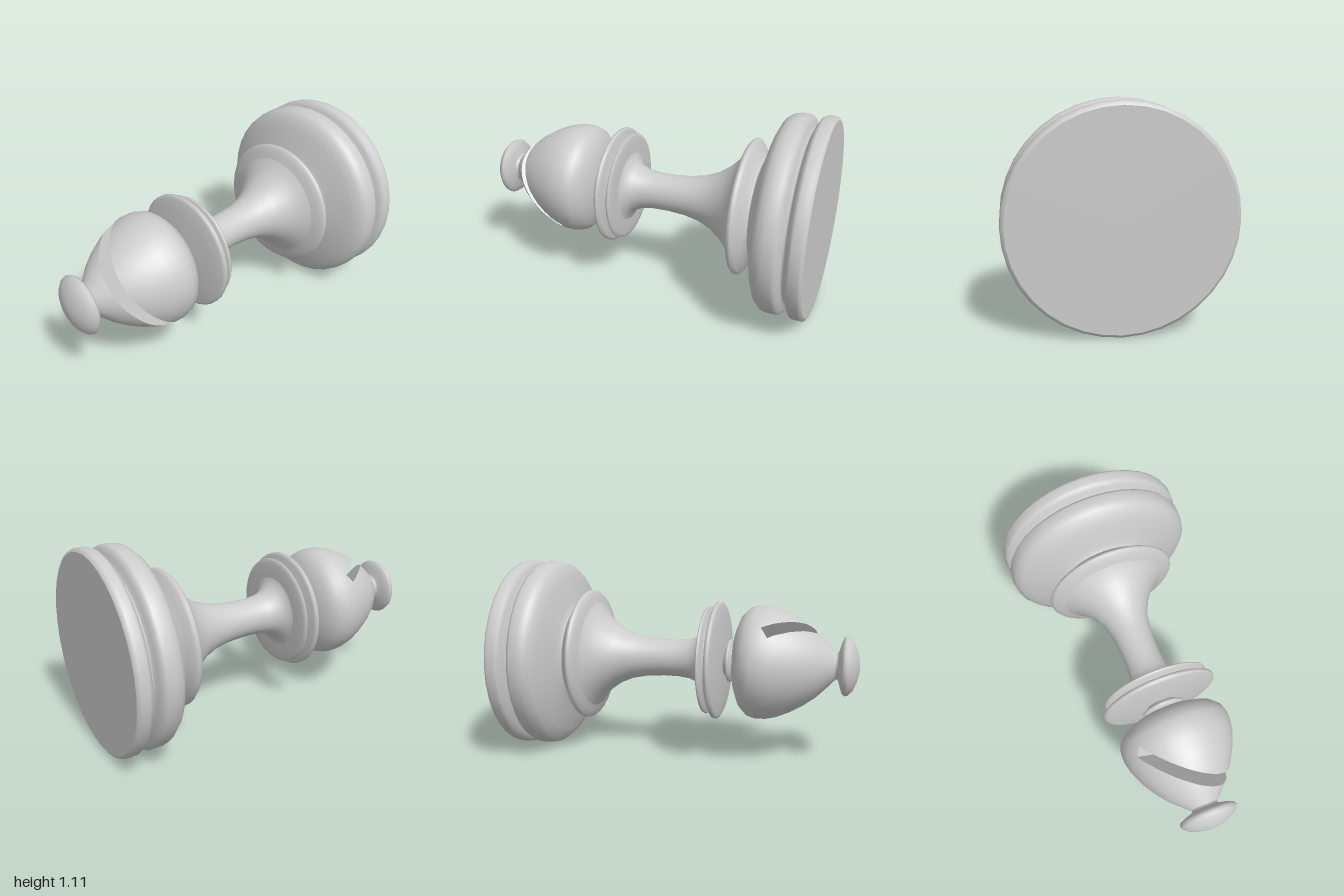
import * as THREE from 'three';

const SIDES = 36;
const RADIUS = 0.5575;

// Profiles are [x along the axis, radius], running from the tip to the base.
const FINIAL = [[-1, 0], [-0.997, 0.04], [-0.985, 0.09], [-0.965, 0.135], [-0.94, 0.162], [-0.925, 0.167],
  [-0.91, 0.158], [-0.897, 0.125], [-0.888, 0.09], [-0.88, 0.074], [-0.865, 0.076]];
const HEAD = [[-0.875, 0.072], [-0.83, 0.12], [-0.77, 0.18], [-0.7, 0.232], [-0.63, 0.273], [-0.55, 0.308],
  [-0.49, 0.322], [-0.435, 0.323], [-0.39, 0.31], [-0.348, 0.268], [-0.318, 0.195], [-0.303, 0.12], [-0.298, 0.08]];
const BEAD = [[-0.305, 0.085], [-0.292, 0.088], [-0.285, 0.11], [-0.278, 0.123], [-0.268, 0.123],
  [-0.261, 0.11], [-0.254, 0.088], [-0.235, 0.085]];
const COLLAR = [[-0.245, 0.08], [-0.243, 0.14], [-0.232, 0.25], [-0.222, 0.322], [-0.212, 0.339], [-0.198, 0.339],
  [-0.189, 0.322], [-0.183, 0.275], [-0.173, 0.255], [-0.163, 0.275], [-0.157, 0.303], [-0.149, 0.314],
  [-0.141, 0.31], [-0.135, 0.29], [-0.131, 0.24], [-0.129, 0.17]];
const STEM = [[-0.131, 0.205], [-0.122, 0.175], [-0.09, 0.138], [-0.04, 0.117], [0.03, 0.108], [0.12, 0.107],
  [0.22, 0.114], [0.31, 0.132], [0.39, 0.165], [0.46, 0.214], [0.51, 0.265], [0.54, 0.312]];
const RING = [[0.535, 0.3], [0.55, 0.345], [0.562, 0.374], [0.575, 0.385], [0.587, 0.384], [0.6, 0.37],
  [0.62, 0.335], [0.64, 0.3], [0.655, 0.287]];
const FOOT = [[0.65, 0.287], [0.66, 0.292], [0.672, 0.325], [0.69, 0.39], [0.712, 0.465], [0.735, 0.518],
  [0.765, 0.545], [0.8, 0.553], [0.845, 0.553], [0.863, 0.542], [0.873, 0.515], [0.881, 0.49], [0.889, 0.482],
  [0.898, 0.492], [0.91, 0.528], [0.923, 0.549], [0.938, 0.557], [0.978, 0.557], [0.992, 0.552], [1, 0.538]];

// Turned part lying along +x
function turned(profile) {
  const points = profile.map(([x, r]) => new THREE.Vector2(r, x));
  return new THREE.LatheGeometry(points, SIDES).rotateZ(-Math.PI / 2);
}

// Slot frame: N across the slot, U outwards from its floor, E along its width
const S = Math.SQRT1_2;
const N = new THREE.Vector3(0.555, 0.832 * S, 0.832 * S);
const U = new THREE.Vector3(-0.832, 0.555 * S, 0.555 * S);
const E = new THREE.Vector3(0, -S, S);
const LO = -0.335, HI = -0.266, FLOOR = 0.403;

function headRadius(x) {
  for (let i = 1; i < HEAD.length; i++) {
    const [x0, r0] = HEAD[i - 1], [x1, r1] = HEAD[i];
    if (x >= x0 && x <= x1) return r0 + (r1 - r0) * (x - x0) / (x1 - x0);
  }
  return 0;
}

// Squared half width of the head at a point of the slot
function widthSquared(n, u) {
  const x = n * N.x + u * U.x, d = n * 0.832 + u * 0.555;
  return headRadius(x) ** 2 - d * d;
}

// Keep the part of a polygon where f is positive
function clip(poly, f) {
  const out = [];
  poly.forEach((a, i) => {
    const b = poly[(i + 1) % poly.length];
    const fa = f(a.p), fb = f(b.p);
    if (fa >= 0) out.push(a);
    if ((fa > 0 && fb < 0) || (fa < 0 && fb > 0)) {
      const t = fa / (fa - fb);
      out.push({ p: a.p.clone().lerp(b.p, t), n: a.n.clone().lerp(b.n, t).normalize() });
    }
  });
  return out;
}

// Head surface with the slot opening removed
function slottedHead() {
  const source = turned(HEAD).toNonIndexed();
  const pos = source.attributes.position, nor = source.attributes.normal;
  const below = p => LO - p.dot(N), above = p => p.dot(N) - HI;
  const pieces = [[below], [above], [p => -below(p), p => -above(p), p => FLOOR - p.dot(U)]];
  const positions = [], normals = [];
  for (let i = 0; i < pos.count; i += 3) {
    const tri = [0, 1, 2].map(k => ({
      p: new THREE.Vector3().fromBufferAttribute(pos, i + k),
      n: new THREE.Vector3().fromBufferAttribute(nor, i + k),
    }));
    for (const planes of pieces) {
      const poly = planes.reduce(clip, tri);
      for (let k = 2; k < poly.length; k++) {
        for (const v of [poly[0], poly[k - 1], poly[k]]) {
          positions.push(...v.p.toArray());
          normals.push(...v.n.toArray());
        }
      }
    }
  }
  const geometry = new THREE.BufferGeometry();
  geometry.setAttribute('position', new THREE.Float32BufferAttribute(positions, 3));
  geometry.setAttribute('normal', new THREE.Float32BufferAttribute(normals, 3));
  return geometry;
}

// Flat walls and floor of the slot
function slotFaces() {
  const positions = [];
  const at = (n, u, side) => new THREE.Vector3().addScaledVector(N, n).addScaledVector(U, u)
    .addScaledVector(E, side * Math.sqrt(Math.max(0, widthSquared(n, u))));
  const quad = (a, b, c, d) => [a, b, c, a, c, d].forEach(v => positions.push(...v.toArray()));

  for (const n of [LO, HI]) {
    let inside = FLOOR, outside = 0.9;
    for (let i = 0; i < 30; i++) {
      const mid = (inside + outside) / 2;
      if (widthSquared(n, mid) > 0) inside = mid; else outside = mid;
    }
    const steps = 24;
    const uAt = i => inside - (inside - FLOOR) * (1 - i / steps) ** 2;
    for (let i = 0; i < steps; i++) {
      const q = [at(n, uAt(i), -1), at(n, uAt(i + 1), -1), at(n, uAt(i + 1), 1), at(n, uAt(i), 1)];
      quad(...(n === LO ? q : q.reverse()));
    }
  }
  for (let i = 0; i < 4; i++) {
    const a = LO + (HI - LO) * i / 4, b = LO + (HI - LO) * (i + 1) / 4;
    quad(at(a, FLOOR, -1), at(a, FLOOR, 1), at(b, FLOOR, 1), at(b, FLOOR, -1));
  }
  const geometry = new THREE.BufferGeometry();
  geometry.setAttribute('position', new THREE.Float32BufferAttribute(positions, 3));
  geometry.computeVertexNormals();
  return geometry;
}

export function createModel() {
  const grey = new THREE.MeshStandardMaterial({ color: 0xcccccc });
  grey.name = 'plain grey';
  const model = new THREE.Group();
  model.name = 'chessBishop';

  const parts = {
    finial: turned(FINIAL),
    head: slottedHead(),
    headSlot: slotFaces(),
    neckBead: turned(BEAD),
    collar: turned(COLLAR),
    stem: turned(STEM),
    stemRing: turned(RING),
    foot: turned(FOOT),
    underside: turned([[1, 0.538], [1, 0]]),
  };
  for (const [name, geometry] of Object.entries(parts)) {
    const mesh = new THREE.Mesh(geometry, grey);
    mesh.name = name;
    mesh.position.y = RADIUS;
    model.add(mesh);
  }
  return model;
}
